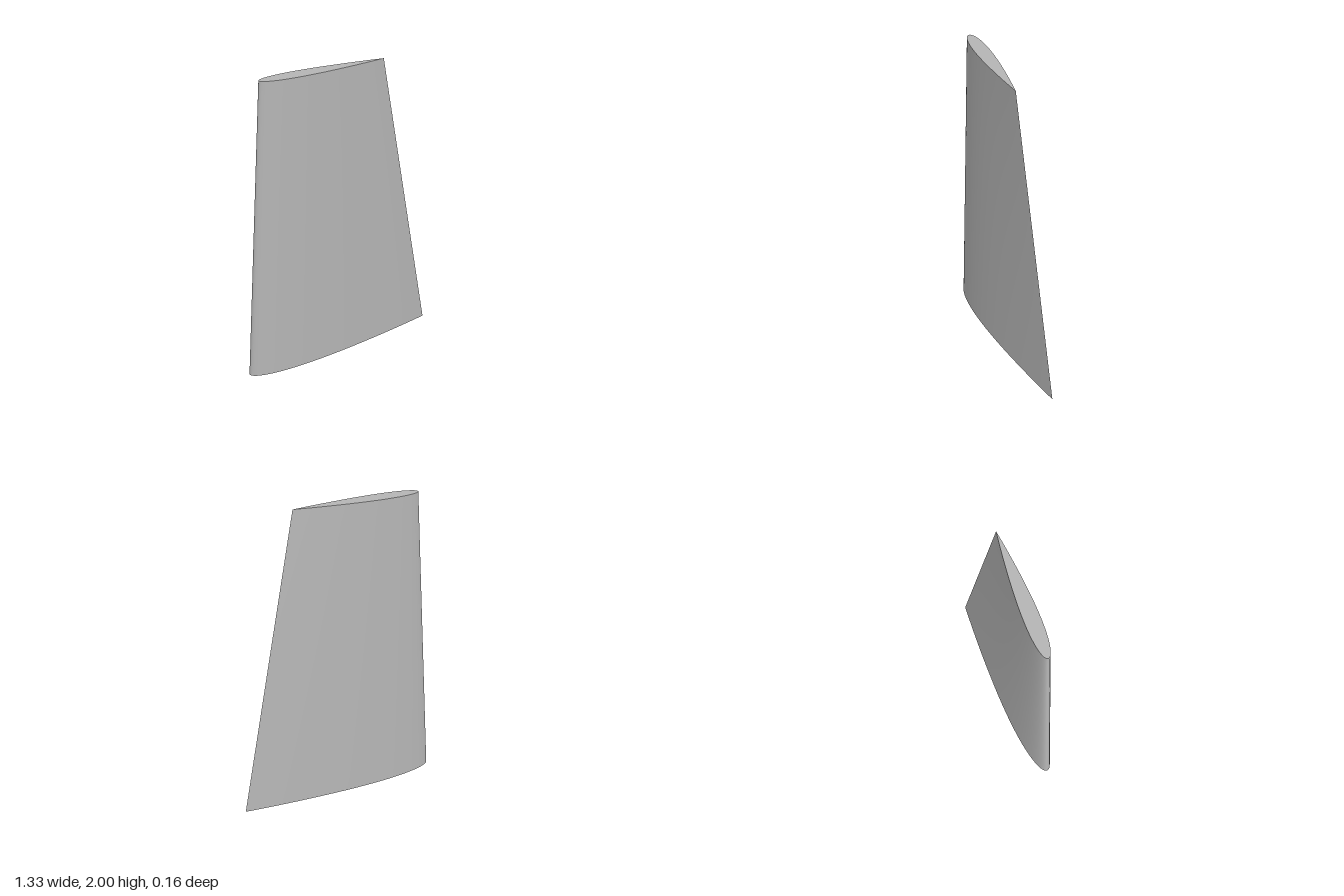
import * as THREE from 'three';

const HALF = 40; // profile steps on each side of the wing
const ROWS = 20; // steps along the span
const HEIGHT = 2;

// Symmetric 12% aerofoil, from the trailing edge over the +z side to the nose and back
function section(noseX, chord, twist) {
  const points = [];
  for (let i = 0; i <= 2 * HALF; i++) {
    const t = (1 + Math.cos((Math.PI * i) / HALF)) / 2;
    const thick = 0.6 * (0.2969 * Math.sqrt(t) - 0.126 * t - 0.3516 * t ** 2 + 0.2843 * t ** 3 - 0.1036 * t ** 4);
    const x = t * chord;
    const z = (i <= HALF ? 1 : -1) * thick * chord;
    points.push(new THREE.Vector2(
      noseX + x * Math.cos(twist) - z * Math.sin(twist),
      x * Math.sin(twist) + z * Math.cos(twist)
    ));
  }
  return points;
}

function build(positions, indices) {
  const geometry = new THREE.BufferGeometry();
  geometry.setAttribute('position', new THREE.Float32BufferAttribute(positions, 3));
  geometry.setIndex(indices);
  geometry.computeVertexNormals();
  return geometry;
}

// Straight loft between the root and tip sections
function skinGeometry(root, tip) {
  const positions = [];
  const indices = [];
  const n = root.length;
  for (let j = 0; j <= ROWS; j++) {
    const f = j / ROWS;
    for (let i = 0; i < n; i++) {
      const p = root[i].clone().lerp(tip[i], f);
      positions.push(p.x, f * HEIGHT, p.y);
      if (j < ROWS && i < n - 1) {
        const a = j * n + i;
        indices.push(a, a + n, a + 1, a + 1, a + n, a + n + 1);
      }
    }
  }
  return build(positions, indices);
}

// Flat end plate, joining opposite sides of the section in strips
function capGeometry(points, y, up) {
  const positions = points.flatMap((p) => [p.x, y, p.y]);
  const indices = [];
  const tri = (a, b, c) => (up ? indices.push(a, c, b) : indices.push(a, b, c));
  for (let i = 0; i < HALF; i++) {
    const m = 2 * HALF - i;
    if (i > 0) tri(i, i + 1, m);
    if (i < HALF - 1) tri(i + 1, m - 1, m);
  }
  return build(positions, indices);
}

export function createModel() {
  const group = new THREE.Group();
  group.name = 'wing';
  const grey = new THREE.MeshStandardMaterial({ color: 0xb4b4b4 });
  grey.name = 'light grey';

  const root = section(-0.667, 1.333, 0);
  const tip = section(-0.533, 0.8, THREE.MathUtils.degToRad(5));

  const add = (name, geometry) => {
    const mesh = new THREE.Mesh(geometry, grey);
    mesh.name = name;
    group.add(mesh);
  };
  add('wingSkin', skinGeometry(root, tip));
  add('rootCap', capGeometry(root, 0, false));
  add('tipCap', capGeometry(tip, HEIGHT, true));
  return group;
}
